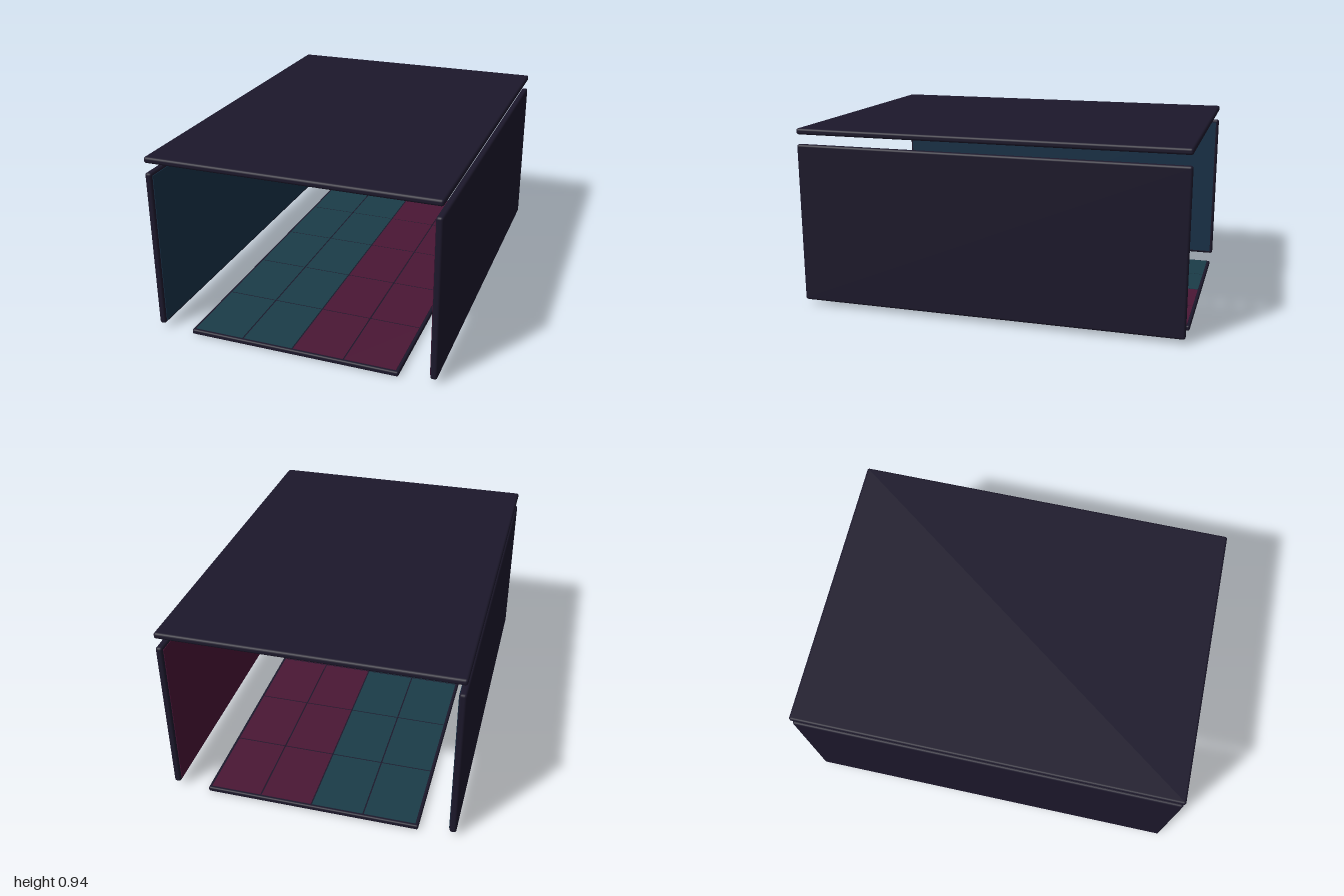
import * as THREE from 'three';
import { RoundedBoxGeometry } from 'three/addons/geometries/RoundedBoxGeometry.js';

const material = (color) => new THREE.MeshStandardMaterial({ color });

export function createModel() {
  const model = new THREE.Group();
  model.name = 'openCorridor';
  const dark = material(0x1c182b);
  const teal = material(0x1b3c48);
  const magenta = material(0x4a1735);
  const tealWall = material(0x173046);
  const magentaWall = material(0x481334);

  const add = (name, geometry, mat, x, y, z = 0, parent = model) => {
    const mesh = new THREE.Mesh(geometry, mat);
    mesh.name = name;
    mesh.position.set(x, y, z);
    parent.add(mesh);
    return mesh;
  };
  const slab = (w, h, d, r) => new RoundedBoxGeometry(w, h, d, 2, r);

  // Roof slab
  add('roof', slab(1.476, 0.032, 2, 0.012), dark, 0, 0.927);

  // Side walls with a coloured lining on the inner face
  for (const side of [-1, 1]) {
    const label = side > 0 ? 'left' : 'right';
    add(label + 'Wall', slab(0.034, 0.835, 2, 0.012), dark, side * 0.721, 0.443);
    add(label + 'WallLining', new THREE.BoxGeometry(0.004, 0.805, 1.97),
      side > 0 ? magentaWall : tealWall, side * 0.703, 0.443);
  }

  // Floor slab, carrying tiles in two colours with dark joints between them
  add('floorSlab', slab(1.1, 0.026, 2, 0.008), dark, 0, 0.013);
  const tiles = new THREE.Group();
  tiles.name = 'floorTiles';
  model.add(tiles);
  const columns = 4, rows = 5, joint = 0.007;
  const cellX = 1.076 / columns, cellZ = 1.976 / rows;
  const tile = new THREE.BoxGeometry(cellX - joint, 0.003, cellZ - joint);
  for (let i = 0; i < columns; i++) {
    for (let j = 0; j < rows; j++) {
      add('floorTile', tile, i < columns / 2 ? teal : magenta,
        (i + 0.5 - columns / 2) * cellX, 0.0265, (j + 0.5 - rows / 2) * cellZ, tiles);
    }
  }
  return model;
}
